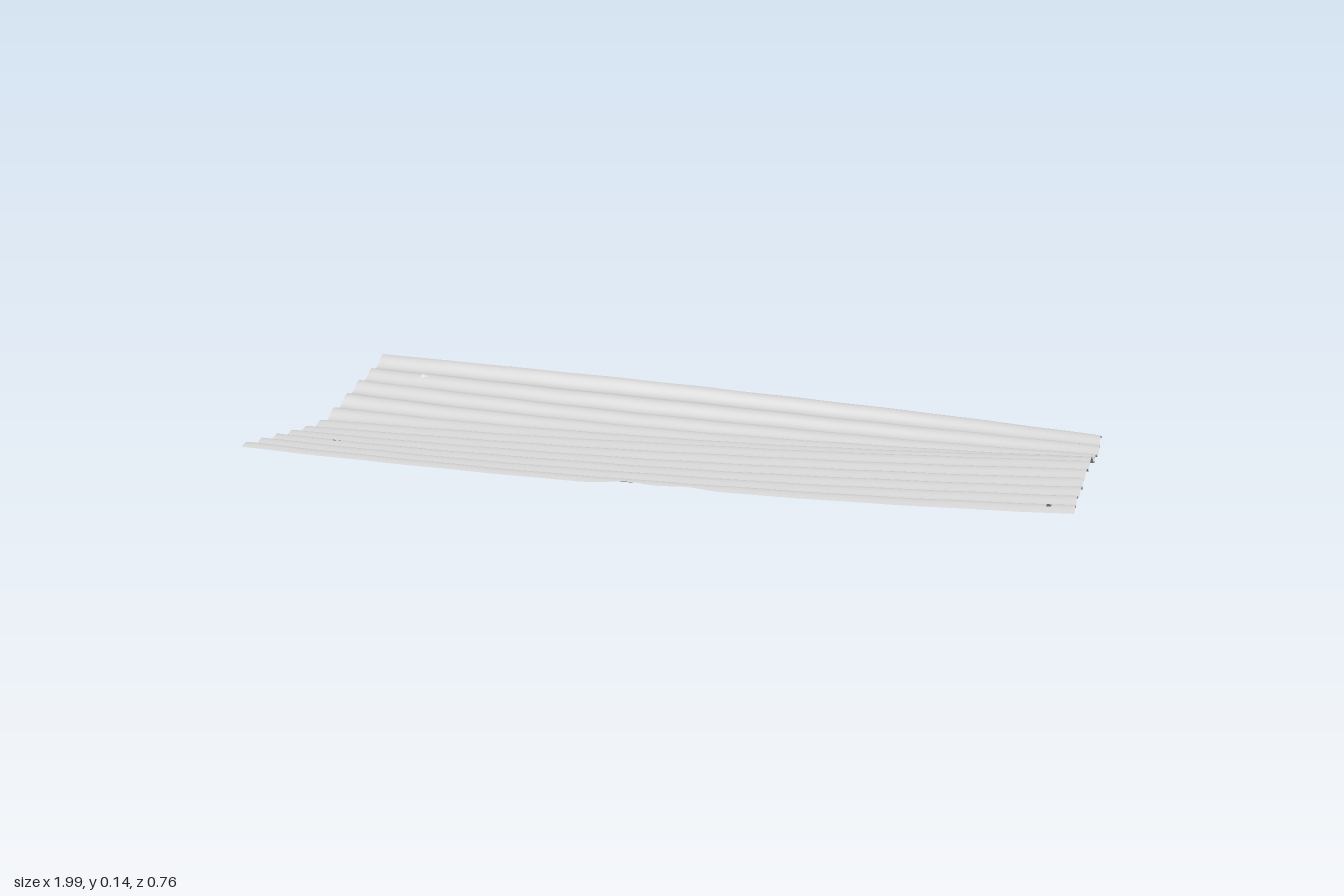
import * as THREE from 'three';

// Sag of the sheet across its width (front edge to back edge) at three stations along x.
const PROFILES = [
  [0.032, 0.026, 0.02, 0.015, 0.014, 0.04, 0.076, 0.103, 0.138], // x = -1
  [0.014, 0.012, 0.012, 0.014, 0.02, 0.018, 0.03, 0.062, 0.1],   // x = 0
  [0.034, 0.038, 0.043, 0.047, 0.052, 0.043, 0.02, 0.026, 0.038] // x = 1
].map(ys => new THREE.SplineCurve(ys.map((y, i) => new THREE.Vector2(0.38 - i * 0.095, y))));

const PITCH = 0.0708; // distance between ridges
const RIDGE = 0.0075; // half the ridge height
const NAIL_HOLES = [[-0.83, -0.28], [-0.83, 0.21], [0.94, -0.29], [0.94, 0.355]];

// Blend the three profiles along x and add the corrugation and light wear.
function height(x, z) {
  const t = THREE.MathUtils.clamp((0.38 - z) / 0.76, 0, 1);
  const [a, b, c] = PROFILES.map(p => p.getPoint(t).y);
  const base = a * x * (x - 1) / 2 + b * (1 - x * x) + c * x * (x + 1) / 2;
  const wear = 0.0008 * Math.sin(9 * x + 14 * z) * Math.sin(17 * x - 8 * z);
  return base + RIDGE * Math.cos(2 * Math.PI * z / PITCH) + wear;
}

// Slightly uneven outline of the sheet.
const backEdge = x => -0.36 - 0.024 * Math.max(0, x) + 0.0012 * Math.sin(23 * x);
const frontEdge = x => 0.374 + 0.004 * Math.max(0, x)
  - 0.009 * Math.exp(-((x / 0.06) ** 2)) - 0.008 * Math.exp(-(((x - 0.14) / 0.06) ** 2));
const rightEnd = z => 0.99 + 0.012 * z + 0.002 * Math.sin(40 * z);

export function createModel() {
  const nx = 200, nz = 150;
  const positions = [], indices = [];
  for (let j = 0; j <= nz; j++) {
    for (let i = 0; i <= nx; i++) {
      const u = i / nx, v = j / nz;
      const x0 = -1 + 2 * u;
      const z = THREE.MathUtils.lerp(backEdge(x0), frontEdge(x0), v);
      const x = -0.998 + u * (rightEnd(z) + 0.998);
      positions.push(x, height(x, z), z);
    }
  }
  for (let j = 0; j < nz; j++) {
    for (let i = 0; i < nx; i++) {
      const a = j * (nx + 1) + i, b = a + 1, c = a + nx + 1, d = c + 1;
      // Leave nail holes open
      const cx = (positions[3 * a] + positions[3 * d]) / 2;
      const cz = (positions[3 * a + 2] + positions[3 * d + 2]) / 2;
      if (NAIL_HOLES.some(([hx, hz]) => Math.hypot(cx - hx, cz - hz) < 0.007)) continue;
      indices.push(a, c, b, b, c, d);
    }
  }
  const geometry = new THREE.BufferGeometry();
  geometry.setAttribute('position', new THREE.Float32BufferAttribute(positions, 3));
  geometry.setIndex(indices);
  geometry.computeVertexNormals();

  // Rest the lowest point on the floor
  geometry.computeBoundingBox();
  geometry.translate(0, -geometry.boundingBox.min.y, 0);

  const sheet = new THREE.Mesh(geometry,
    new THREE.MeshStandardMaterial({ color: 0xcccccc, side: THREE.DoubleSide }));
  sheet.name = 'corrugatedSheet';
  const group = new THREE.Group();
  group.name = 'corrugatedPanel';
  group.add(sheet);
  return group;
}
